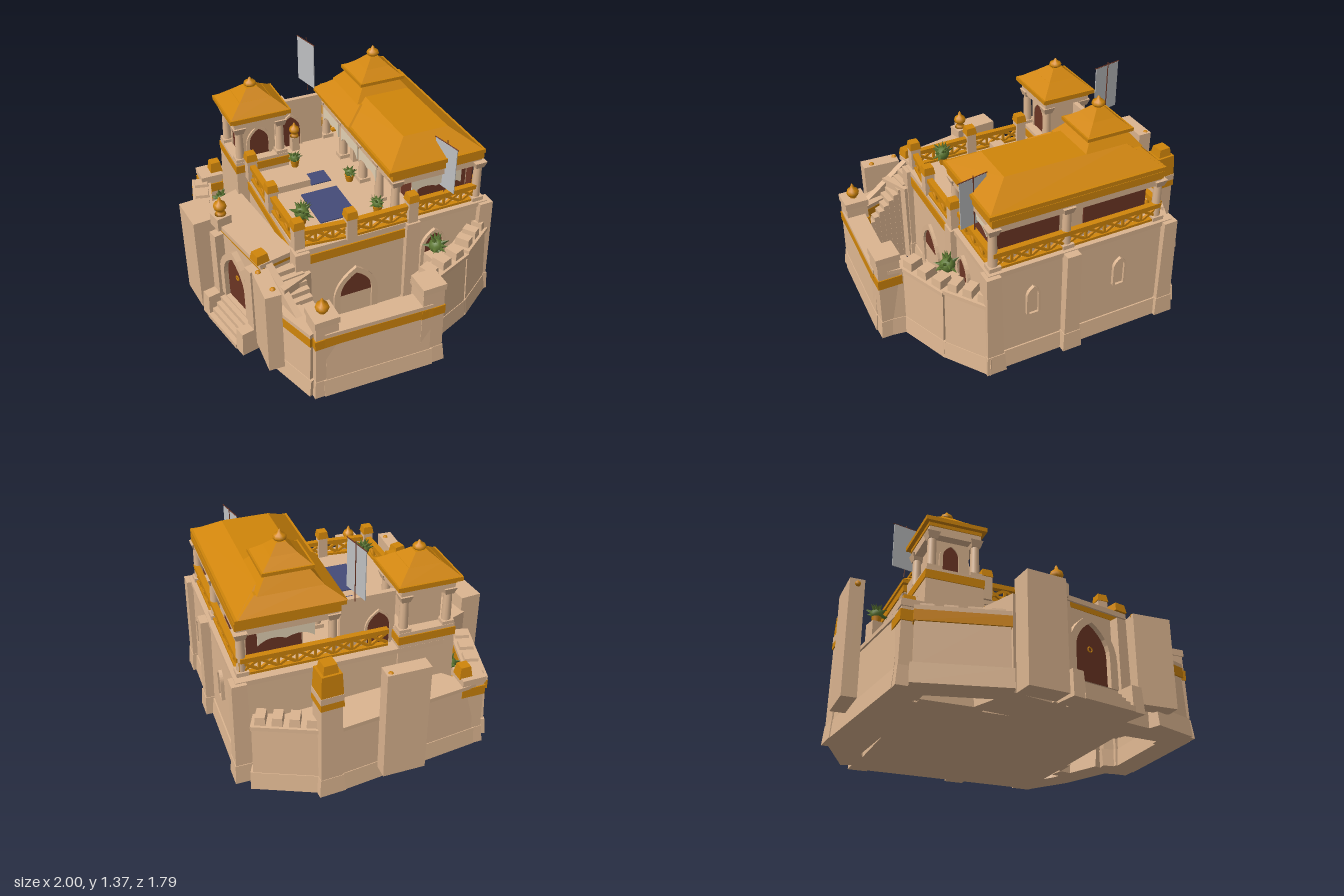
import * as THREE from 'three';

const mk = (name, color) => { const m = new THREE.MeshStandardMaterial({ color }); m.name = name; return m; };
const M = {
  stone: mk('sandstone', 0xdcb590), gold: mk('gold', 0xd0850a), wood: mk('dark wood', 0x6c3524),
  blue: mk('blue tile', 0x454b78), leaf: mk('leaf green', 0x5d7832), flag: mk('flag grey', 0xbfc0c2),
  cloth: mk('cream cloth', 0xe4d2b4),
};
M.flag.side = M.cloth.side = THREE.DoubleSide;

function add(parent, name, geo, mat, x = 0, y = 0, z = 0, ry = 0) {
  const m = new THREE.Mesh(geo, mat);
  m.name = name; m.position.set(x, y, z); m.rotation.y = ry;
  parent.add(m);
  return m;
}

// Box standing on y, with its top scaled by tx, tz
function block(p, name, mat, w, h, d, x, y, z, ry = 0, tx = 1, tz = tx) {
  const g = new THREE.BoxGeometry(w, h, d).translate(0, h / 2, 0), a = g.attributes.position;
  for (let i = 0; i < a.count; i++) if (a.getY(i) > h / 2) { a.setX(i, a.getX(i) * tx); a.setZ(i, a.getZ(i) * tz); }
  g.computeVertexNormals();
  return add(p, name, g, mat, x, y, z, ry);
}

const lathe = pts => new THREE.LatheGeometry(pts.map(q => new THREE.Vector2(q[0], q[1])), 10);
const urnGeo = lathe([[0, 0], [.034, 0], [.026, .016], [.016, .024], [.034, .04], [.039, .055], [.032, .075], [.013, .088], [.009, .105], [0, .12]]);

// Pointed arch outline standing on y = 0
function arch(w, h, T = THREE.Shape) {
  const s = new T(), r = w / 2, k = h - w * .75;
  s.moveTo(-r, 0); s.lineTo(r, 0); s.lineTo(r, k);
  s.quadraticCurveTo(r, k + w * .45, 0, h); s.quadraticCurveTo(-r, k + w * .45, -r, k); s.lineTo(-r, 0);
  return s;
}
const extrude = (s, depth) => new THREE.ExtrudeGeometry(s, { depth, bevelEnabled: false, curveSegments: 6 });
const polygon = pts => new THREE.Shape(pts.map(q => new THREE.Vector2(q[0], q[1])));
function archDoor(p, name, w, h, x, y, z, ry, rim = .04, depth = .02, leaf = M.wood) {
  const g = new THREE.Group(); g.name = name; g.position.set(x, y, z); g.rotation.y = ry; p.add(g);
  const f = arch(w + rim * 2, h + rim);
  f.holes.push(arch(w, h, THREE.Path));
  add(g, 'archFrame', extrude(f, depth), M.stone);
  add(g, 'doorLeaf', extrude(arch(w, h), .006), leaf);
}

// Leafy bush, optionally in a pot
let seed = 7;
const rnd = () => (seed = (seed * 16807) % 2147483647) / 2147483647;
function plant(p, x, y, z, r, pot) {
  const g = new THREE.Group(); g.name = 'plant'; g.position.set(x, y, z); p.add(g);
  if (pot) add(g, 'pot', new THREE.CylinderGeometry(.03, .02, .05, 8).translate(0, .025, 0), M.gold);
  const cy = .04 + r * .5;
  add(g, 'bush', new THREE.IcosahedronGeometry(r * .6, 1), M.leaf, 0, cy, 0);
  for (let i = 0; i < 16; i++) {
    const c = add(g, 'leaf', new THREE.ConeGeometry(r * .36, r * 1.2, 4).translate(0, r * .5, 0), M.leaf, 0, cy, 0);
    const a = i * 2.4, t = .2 + rnd() * 1.7;
    c.quaternion.setFromUnitVectors(new THREE.Vector3(0, 1, 0), new THREE.Vector3(Math.sin(t) * Math.cos(a), Math.cos(t), Math.sin(t) * Math.sin(a)));
  }
}

// Battered defence wall between two ground points
function wall(p, a, b, h, band, crenels, tall = .06) {
  const dx = b[0] - a[0], dz = b[1] - a[1], L = Math.hypot(dx, dz), g = new THREE.Group();
  g.name = 'outerWall'; g.position.set((a[0] + b[0]) / 2, 0, (a[1] + b[1]) / 2); g.rotation.y = -Math.atan2(dz, dx); p.add(g);
  block(g, 'wallFoot', M.stone, L + .03, .11, .16, 0, .01, 0, 0, 1, .85);
  block(g, 'wallBody', M.stone, L, h - .1, .13, 0, .1, 0, 0, 1, .75);
  block(g, 'wallCoping', M.stone, L + .01, .025, .12, 0, h - .015, 0);
  if (band) block(g, 'wallBand', M.gold, L + .012, .06, .124, 0, h - .075, 0);
  for (let i = 0; i < crenels; i++)
    block(g, 'merlon', M.stone, L / crenels * .65, tall, .09, -L / 2 + (i + .5) * L / crenels, h, 0, 0, .9);
}
function tower(p, x, z, w, h, ry, band) {
  block(p, 'towerFoot', M.stone, w * 1.3, .11, w * 1.3, x, .01, z, ry, .88);
  block(p, 'towerBody', M.stone, w * 1.1, h - .1, w * 1.1, x, .1, z, ry, .9);
  block(p, 'towerTop', M.stone, w * 1.1, .04, w * 1.1, x, h - .02, z, ry);
  if (band) block(p, 'towerBand', M.gold, w * 1.12, .06, w * 1.12, x, .36, z, ry);
}

// Lattice railing through the listed points, with capped posts where asked
function railing(p, pts, y, posts) {
  pts.forEach((b, i) => {
    if (posts) {
      block(p, 'railPost', M.stone, .06, .14, .06, b[0], y, b[1]);
      block(p, 'railPostCap', M.gold, .07, .045, .07, b[0], y + .14, b[1], 0, .8);
    }
    if (!i) return;
    const a = pts[i - 1], dx = b[0] - a[0], dz = b[1] - a[1], L = Math.hypot(dx, dz), g = new THREE.Group();
    g.name = 'railing'; g.position.set((a[0] + b[0]) / 2, y, (a[1] + b[1]) / 2); g.rotation.y = -Math.atan2(dz, dx); p.add(g);
    block(g, 'lowerRail', M.gold, L, .02, .03, 0, 0, 0);
    block(g, 'upperRail', M.gold, L, .028, .035, 0, .086, 0);
    const n = Math.round(L / .11), s = L / n;
    for (let j = 0; j < n; j++) {
      block(g, 'baluster', M.gold, .014, .08, .014, -L / 2 + j * s, .01, 0);
      for (const k of [-1, 1]) {
        const bar = add(g, 'latticeBar', new THREE.BoxGeometry(Math.hypot(s, .07), .015, .014), M.gold, -L / 2 + (j + .5) * s, .053, 0);
        bar.rotation.z = k * Math.atan2(.07, s);
      }
    }
  });
}
function column(p, x, y, z, h) {
  block(p, 'columnBase', M.stone, .07, .03, .07, x, y, z);
  add(p, 'columnShaft', new THREE.CylinderGeometry(.023, .028, h, 10), M.stone, x, y + h / 2, z);
  block(p, 'columnCapital', M.stone, .05, .04, .05, x, y + h - .04, z, 0, 1.5);
}
// Hanging scalloped cloth
function drape(p, w, h, x, y, z, ry) {
  const s = new THREE.Shape();
  s.moveTo(-w / 2, 0); s.lineTo(-w / 2, -h);
  s.quadraticCurveTo(-w * .3, -h * .4, 0, -h * .8); s.quadraticCurveTo(w * .3, -h * .4, w / 2, -h); s.lineTo(w / 2, 0);
  add(p, 'drape', extrude(s, .008), M.cloth, x, y, z, ry);
}

export function createModel() {
  const root = new THREE.Group(); root.name = 'fortifiedPalace';
  const keep = new THREE.Group(); keep.name = 'keep'; keep.rotation.y = -.21; root.add(keep);
  const Q = Math.PI / 2;

  // Keep body and terrace
  block(keep, 'keepFoot', M.stone, 1.19, .11, 1.25, -.065, .01, -.145, 0, .98);
  block(keep, 'keepBody', M.stone, 1.15, .57, 1.21, -.065, .1, -.145, 0, .975);
  block(keep, 'terraceEdge', M.stone, 1.15, .03, 1.2, -.065, .645, -.145);
  for (const [u, v] of [[-.62, -.73], [.02, -.75], [.49, -.73], [.49, -.25], [.49, .43]]) {
    block(keep, 'buttress', M.stone, .1, .66, .1, u, .01, v, 0, .85);
    block(keep, 'buttressFoot', M.stone, .12, .12, .12, u, .01, v, 0, .88);
  }
  block(keep, 'sideBand', M.gold, .008, .06, .66, .506, .57, .1);
  block(keep, 'frontBand', M.gold, .8, .055, .008, .1, .575, .456);
  for (const u of [-.3, .25]) archDoor(keep, 'rearNiche', .055, .17, u, .34, -.745, Math.PI, .015, .02, M.stone);
  archDoor(keep, 'courtDoor', .2, .32, .5, .1, .1, Q);
  archDoor(keep, 'courtDoor', .12, .3, .5, .25, -.4, Q, .025);
  railing(keep, [[-.27, .44], [.08, .44], [.46, .43], [.49, .13], [.49, -.25]], .67, true);
  railing(keep, [[.465, -.25], [.465, -.7], [.02, -.7], [-.575, -.7], [-.575, .14]], .67, false);

  // Terrace furnishings and the wall joining turret and pavilion
  block(keep, 'largePool', M.blue, .3, .008, .23, .173, .673, .122);
  block(keep, 'smallPool', M.blue, .12, .008, .13, -.104, .673, .076);
  block(keep, 'stairParapet', M.stone, .08, .05, .27, -.085, .67, .28);
  block(keep, 'linkWall', M.stone, .03, .33, .32, -.535, .67, .03);
  for (const s of [-1, 1]) archDoor(keep, 'linkDoor', .13, .22, -.535 + s * .015, .67, .09, s * Q, .015, .012);
  for (const [u, v] of [[-.47, .08], [-.2, -.22]]) {
    block(keep, 'vasePlinth', M.stone, .05, .1, .05, u, .67, v);
    add(keep, 'vase', urnGeo, M.gold, u, .77, v).scale.setScalar(.85);
  }
  plant(root, -.31, .67, .09, .05, true);
  plant(root, .015, .67, -.09, .045, true);
  plant(root, .385, .69, -.015, .05, true);
  plant(root, .23, .7, .4, .07, true);

  // Rear pavilion
  block(keep, 'pavilionRoom', M.stone, .9, .28, .33, -.05, .67, -.49);
  for (const u of [-.38, -.18, .1, .3]) block(keep, 'pavilionDoor', M.wood, .14, .2, .008, u, .67, -.322);
  for (const u of [-.3, .25]) block(keep, 'rearScreen', M.wood, .4, .2, .008, u, .73, -.66);
  for (const u of [-.503, .403]) block(keep, 'sideScreen', M.wood, .008, .22, .31, u, .7, -.49);
  for (const u of [-.54, -.27, .02, .24, .44]) column(keep, u, .67, -.17, .27);
  for (const u of [-.56, .02, .46]) column(keep, u, .67, -.69, .27);
  block(keep, 'lintel', M.stone, 1.03, .05, .57, -.05, .91, -.425);
  block(keep, 'lintelBand', M.gold, 1.045, .045, .585, -.05, .953, -.425);
  for (const u of [-.4, -.125, .13]) drape(keep, .23, .1, u, .91, -.15, 0);
  for (const u of [-.54, .44]) drape(keep, .32, .1, u, .91, -.43, Q);
  block(keep, 'eaves', M.gold, 1.07, .025, .61, -.05, .998, -.41);
  block(keep, 'hallRoof', M.gold, 1.05, .108, .59, -.05, 1.02, -.41, 0, .71, .48);
  block(keep, 'pavilionRoof', M.gold, .54, .08, .6, -.315, 1.022, -.4, 0, .68, .62);
  block(keep, 'pavilionRoofUpper', M.gold, .37, .09, .37, -.33, 1.1, -.39, 0, .6);
  block(keep, 'lanternEaves', M.gold, .29, .02, .29, -.33, 1.185, -.39);
  block(keep, 'lanternRoof', M.gold, .27, .05, .27, -.33, 1.205, -.39, 0, .55);
  block(keep, 'lanternPeak', M.gold, .15, .05, .15, -.33, 1.255, -.39, 0, .35);
  add(keep, 'finial', urnGeo, M.gold, -.33, 1.285, -.39).scale.y = .72;

  // Front corner turret
  block(keep, 'turretBase', M.stone, .35, .76, .36, -.475, .01, .35, 0, .93);
  block(keep, 'turretBand', M.gold, .338, .05, .346, -.475, .7, .35);
  block(keep, 'turretRoom', M.stone, .2, .28, .21, -.475, .75, .35);
  archDoor(keep, 'turretDoor', .09, .19, -.485, .76, .457, 0, .02, .012);
  archDoor(keep, 'turretDoor', .12, .19, -.373, .76, .35, Q, .02, .012);
  for (const u of [-.6, -.35]) for (const v of [.22, .48]) column(keep, u, .76, v, .24);
  block(keep, 'turretLintel', M.stone, .3, .06, .32, -.475, .98, .35);
  block(keep, 'turretLintelBand', M.gold, .31, .022, .33, -.475, 1.03, .35);
  block(keep, 'turretEaves', M.gold, .355, .025, .38, -.475, 1.05, .35);
  block(keep, 'turretRoof', M.gold, .34, .065, .365, -.475, 1.073, .35, 0, .55);
  block(keep, 'turretPeak', M.gold, .19, .055, .2, -.475, 1.136, .35, 0, .35);
  add(keep, 'turretFinial', urnGeo, M.gold, -.475, 1.17, .35).scale.y = .66;

  // Gate forecourt and gatehouse
  const court = polygon([[-.47, -.42], [.46, -.5], [.5, -.7], [-.42, -.72]]);
  add(root, 'forecourt', extrude(court, .54).rotateX(-Q), M.stone, 0, .01, 0);
  block(root, 'gatehouse', M.stone, .5, .6, .2, .07, .01, .63);
  block(root, 'gateBand', M.gold, .506, .03, .206, .07, .575, .63);
  block(root, 'gateCornice', M.stone, .53, .03, .22, .07, .605, .635);
  archDoor(root, 'gate', .23, .35, .06, .15, .735, 0, .05, .035);
  add(root, 'gateHandle', new THREE.TorusGeometry(.014, .004, 6, 10), M.gold, .06, .35, .745);
  for (const x of [-.13, .26]) {
    block(root, 'gateJamb', M.stone, .07, .56, .08, x, .01, .75, 0, .9);
    block(root, 'stepPier', M.stone, .08, .15, .13, x, 0, .81, 0, .85);
  }
  for (let i = 0; i < 5; i++) block(root, 'gateStep', M.stone, .33, .15 - i * .03, .03, .065, 0, .745 + i * .03);
  block(root, 'gatePost', M.stone, .09, .08, .09, -.13, .61, .72);
  add(root, 'gateUrn', urnGeo, M.gold, -.13, .69, .72);
  block(root, 'gateCap', M.gold, .08, .05, .08, .29, .635, .72, 0, .8);

  // Court stair with sloping rail
  for (let i = 0; i < 9; i++) block(root, 'courtStep', M.stone, .036, .58 - i * .03, .14, .39 + i * .034, .01, .6 + i * .005, -.1);
  add(root, 'stairRail', extrude(polygon([[.32, .01], [.66, .01], [.66, .43], [.32, .63]]), .04), M.stone, 0, 0, .67);

  // Tall free slabs
  block(root, 'leftSlab', M.stone, .23, .63, .13, -.295, .01, .79, -.12);
  block(root, 'rightSlab', M.stone, .23, .53, .09, .46, .09, .785, -.25);
  block(root, 'sideSlab', M.stone, .085, .69, .25, -.932, .09, -.1, -.21);
  for (const [x, y, z] of [[-.93, .77, -.2], [-.955, .75, .02], [.36, .615, .775], [.52, .615, .785]])
    add(root, 'slabStud', new THREE.SphereGeometry(.018, 8, 6), M.gold, x, y, z);

  // Outer walls and towers
  const platform = polygon([[-.56, .7], [-.74, .45], [-.84, -.38], [-.7, -.3]]);
  add(root, 'sidePlatform', extrude(platform, .43).rotateX(-Q), M.stone, 0, .01, 0);
  wall(root, [-.52, -.8], [-.74, -.5], .43, false, 4);
  wall(root, [-.77, -.45], [-.85, .42], .43, false, 0);
  wall(root, [-.85, .48], [-.42, .69], .42, true, 4, .03);
  wall(root, [.5, .7], [.76, .665], .44, true, 0);
  wall(root, [.76, .64], [.91, .04], .44, true, 0);
  wall(root, [.92, .03], [.78, -.02], .46, false, 0);
  wall(root, [.79, -.02], [.73, -.36], .46, false, 3);
  wall(root, [.73, -.36], [.62, -.62], .48, false, 3);
  tower(root, -.77, -.48, .12, .66, -.15, false);
  block(root, 'watchPostTop', M.gold, .135, .21, .135, -.77, .6, -.48, -.15, .85);
  block(root, 'watchPostCap', M.gold, .09, .06, .09, -.77, .8, -.48, -.15, .8);
  tower(root, -.84, .42, .13, .46, -.2, true);
  block(root, 'cornerCap', M.gold, .08, .07, .08, -.835, .475, .38, -.2, .75);
  tower(root, .75, .63, .13, .53, -.2, true);
  add(root, 'cornerUrn', urnGeo, M.gold, .75, .53, .63);
  tower(root, .9, .03, .13, .55, -.2, true);
  plant(root, -.82, .54, 0, .06, true);
  block(root, 'planterPost', M.stone, .08, .12, .08, -.82, .43, 0);
  plant(root, .655, .44, -.24, .075, false);
  block(root, 'planterPost', M.stone, .09, .44, .09, .65, .01, -.24);
  plant(root, -.63, .33, .46, .06, false);

  // Hanging flags
  for (const [x, y, z] of [[-.565, 1.06, -.18], [.55, .82, -.36]]) {
    add(root, 'flag', new THREE.BoxGeometry(.175, .29, .005), M.flag, x, y + .145, z);
    add(root, 'flagBar', new THREE.CylinderGeometry(.003, .003, .19, 6).rotateZ(Q), M.wood, x, y + .292, z);
    add(root, 'flagPole', new THREE.CylinderGeometry(.003, .003, .36, 6), M.wood, x, y + .13, z - .006);
  }
  return root;
}
